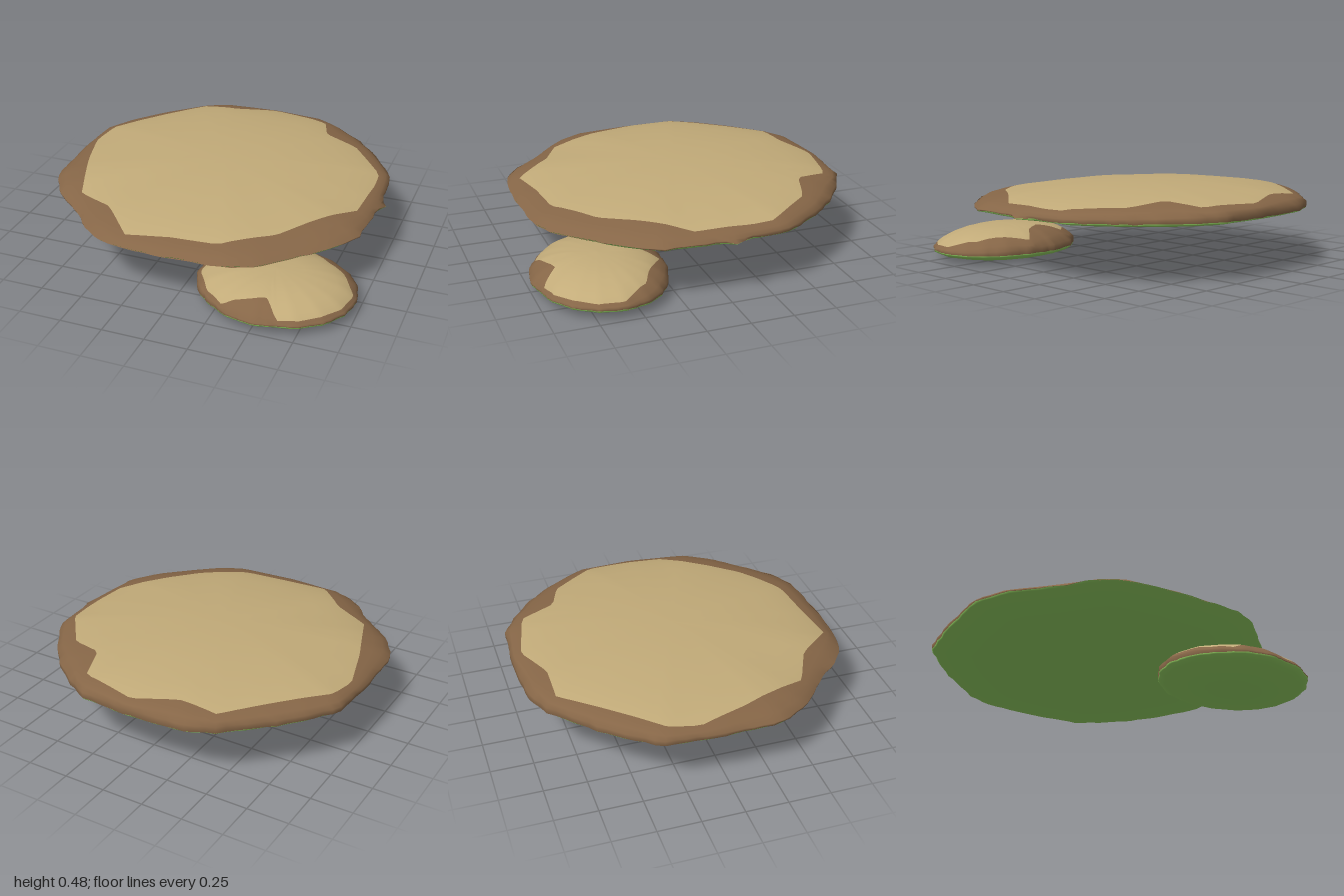
import * as THREE from 'three';

const SIDES = 112;

const tan = new THREE.MeshStandardMaterial({ color: 0xc2ab79 });
tan.name = 'sandy top';
const brown = new THREE.MeshStandardMaterial({ color: 0x866647 });
brown.name = 'brown rim';
const green = new THREE.MeshStandardMaterial({ color: 0x9cdc68 });
green.name = 'green underside';

// Small repeatable noise in -1..1
function makeNoise(seed) {
  let s = seed;
  return () => {
    s = (s * 16807) % 2147483647;
    return (s / 2147483647) * 2 - 1;
  };
}

// Distance from a centre to a closed outline along one angle
function reach(outline, cx, cz, angle) {
  const dx = Math.cos(angle), dz = Math.sin(angle);
  let best = 0;
  outline.forEach(([px, pz], i) => {
    const [qx, qz] = outline[(i + 1) % outline.length];
    const ex = qx - px, ez = qz - pz;
    const det = dx * ez - dz * ex;
    if (Math.abs(det) < 1e-9) return;
    const wx = px - cx, wz = pz - cz;
    const r = (wx * ez - wz * ex) / det;
    const k = (wx * dz - wz * dx) / det;
    if (r > 0 && k >= -1e-6 && k <= 1 + 1e-6) best = Math.max(best, r);
  });
  return best;
}

// Height on a profile of [fraction of radius, y] points
function heightAt(profile, t) {
  for (let i = 1; i < profile.length; i++) {
    const [t0, y0] = profile[i - 1], [t1, y1] = profile[i];
    if (t <= t1) return y0 + ((y1 - y0) * (t - t0)) / (t1 - t0);
  }
  return profile[profile.length - 1][1];
}

// Closed pebble-like slab: sandy cap, brown rim, green belly
function slab({ name, centre: [cx, cz], rim, cap, top, belly, tilt, jag, spike = 0, seed }) {
  const noise = makeNoise(seed);
  const capSteps = [0.02, 0.2, 0.4, 0.6, 0.8, 0.92, 1];
  const rimSteps = [0.4, 0.75, 1];
  const rings = 1 + capSteps.length + rimSteps.length + belly.length;
  const positions = new Float32Array(rings * SIDES * 3);

  for (let j = 0; j < SIDES; j++) {
    const a = (j / SIDES) * Math.PI * 2;
    const c = Math.cos(a), s = Math.sin(a);
    const outer = reach(rim, cx, cz, a);
    const capT = Math.min(0.965, reach(cap, cx, cz, a) / outer);
    const wobble = (noise() + 0.7) * jag, lift = noise() * jag * 0.6;
    let ring = 0;
    const put = (t, y, extra = 0) => {
      const r = t * outer + extra;
      positions.set([cx + r * c, y, cz + r * s], (ring++ * SIDES + j) * 3);
    };
    const lean = (t) => -(tilt[0] * c + tilt[1] * s) * t;
    [0, ...capSteps].forEach((k) => put(k * capT, heightAt(top, k * capT) + lean(k * capT)));
    rimSteps.forEach((k) => {
      const t = capT + (1 - capT) * k;
      put(t, heightAt(top, t) + lean(t), k === 1 ? wobble : 0);
    });
    // The first two belly rings form the ragged green lip
    belly.forEach(([t, y], i) =>
      put(t, y + (i === 0 ? lift : 0), i < 2 ? wobble + (j === 0 ? spike : 0) : 0));
  }

  // Bands of faces, grouped by colour
  const geometry = new THREE.BufferGeometry();
  const index = [];
  const capEnd = capSteps.length, rimEnd = capEnd + rimSteps.length + 1;
  for (let i = 0; i < rings - 1; i++) {
    const start = index.length;
    for (let j = 0; j < SIDES; j++) {
      const n = (j + 1) % SIDES;
      const p = i * SIDES + j, q = i * SIDES + n;
      index.push(p, q, p + SIDES, q, q + SIDES, p + SIDES);
    }
    geometry.addGroup(start, index.length - start, i < capEnd ? 0 : i < rimEnd ? 1 : 2);
  }
  geometry.setAttribute('position', new THREE.BufferAttribute(positions, 3));
  geometry.setIndex(index);
  geometry.computeVertexNormals();
  const mesh = new THREE.Mesh(geometry, [tan, brown, green]);
  mesh.name = name;
  return mesh;
}

export function createModel() {
  const group = new THREE.Group();
  group.name = 'floatingIslands';

  group.add(slab({
    name: 'largeIsland',
    centre: [-0.02, -0.03],
    rim: [
      [0.95, -0.02], [0.92, 0.37], [0.82, 0.54], [0.63, 0.73], [0.5, 0.85], [0.36, 0.92],
      [-0.02, 0.945], [-0.37, 0.92], [-0.5, 0.85], [-0.68, 0.66], [-0.9, 0.46], [-0.98, 0.31],
      [-0.997, -0.02], [-0.98, -0.36], [-0.88, -0.52], [-0.72, -0.7], [-0.5, -0.9], [-0.36, -0.97],
      [0, -0.997], [0.31, -0.97], [0.45, -0.9], [0.6, -0.79], [0.73, -0.65], [0.84, -0.5], [0.92, -0.36],
    ],
    cap: [
      [0.01, -0.94], [0.37, -0.86], [0.44, -0.65], [0.65, -0.58], [0.87, -0.3], [0.88, -0.16],
      [0.86, 0.17], [0.71, 0.35], [0.52, 0.61], [0.25, 0.8], [-0.02, 0.82], [-0.28, 0.86],
      [-0.48, 0.64], [-0.71, 0.53], [-0.86, 0.13], [-0.94, -0.15], [-0.91, -0.33],
      [-0.47, -0.84], [-0.24, -0.84],
    ],
    top: [[0, 0.473], [0.2, 0.472], [0.4, 0.464], [0.6, 0.449], [0.8, 0.423], [0.92, 0.397], [0.97, 0.38], [0.99, 0.368], [1, 0.354]],
    belly: [[1, 0.338], [0.992, 0.33], [0.92, 0.314], [0.75, 0.301], [0.5, 0.291], [0.25, 0.286], [0, 0.284]],
    tilt: [0.003, 0.022],
    jag: 0.006,
    spike: 0.035,
    seed: 17,
  }));

  group.add(slab({
    name: 'smallIsland',
    centre: [0.53, 0.62],
    rim: [
      [0.99, 0.6], [0.96, 0.74], [0.88, 0.86], [0.75, 0.95], [0.52, 1], [0.36, 0.97], [0.24, 0.9],
      [0.13, 0.8], [0.07, 0.66], [0.08, 0.52], [0.15, 0.4], [0.28, 0.29], [0.45, 0.235],
      [0.62, 0.24], [0.78, 0.29], [0.89, 0.37], [0.96, 0.47],
    ],
    cap: [
      [0.87, 0.45], [0.97, 0.6], [0.94, 0.74], [0.86, 0.85], [0.75, 0.93], [0.64, 0.96],
      [0.56, 0.87], [0.49, 0.89], [0.32, 0.93], [0.2, 0.84], [0.1, 0.68], [0.13, 0.52],
      [0.28, 0.37], [0.42, 0.44], [0.53, 0.38], [0.61, 0.28], [0.77, 0.4],
    ],
    top: [[0, 0.2], [0.3, 0.196], [0.5, 0.187], [0.7, 0.166], [0.85, 0.138], [0.95, 0.108], [1, 0.082]],
    belly: [[1, 0.061], [0.99, 0.052], [0.93, 0.036], [0.75, 0.018], [0.5, 0.006], [0.25, 0.001], [0, 0]],
    tilt: [0.008, 0.012],
    jag: 0.003,
    seed: 5,
  }));

  return group;
}
